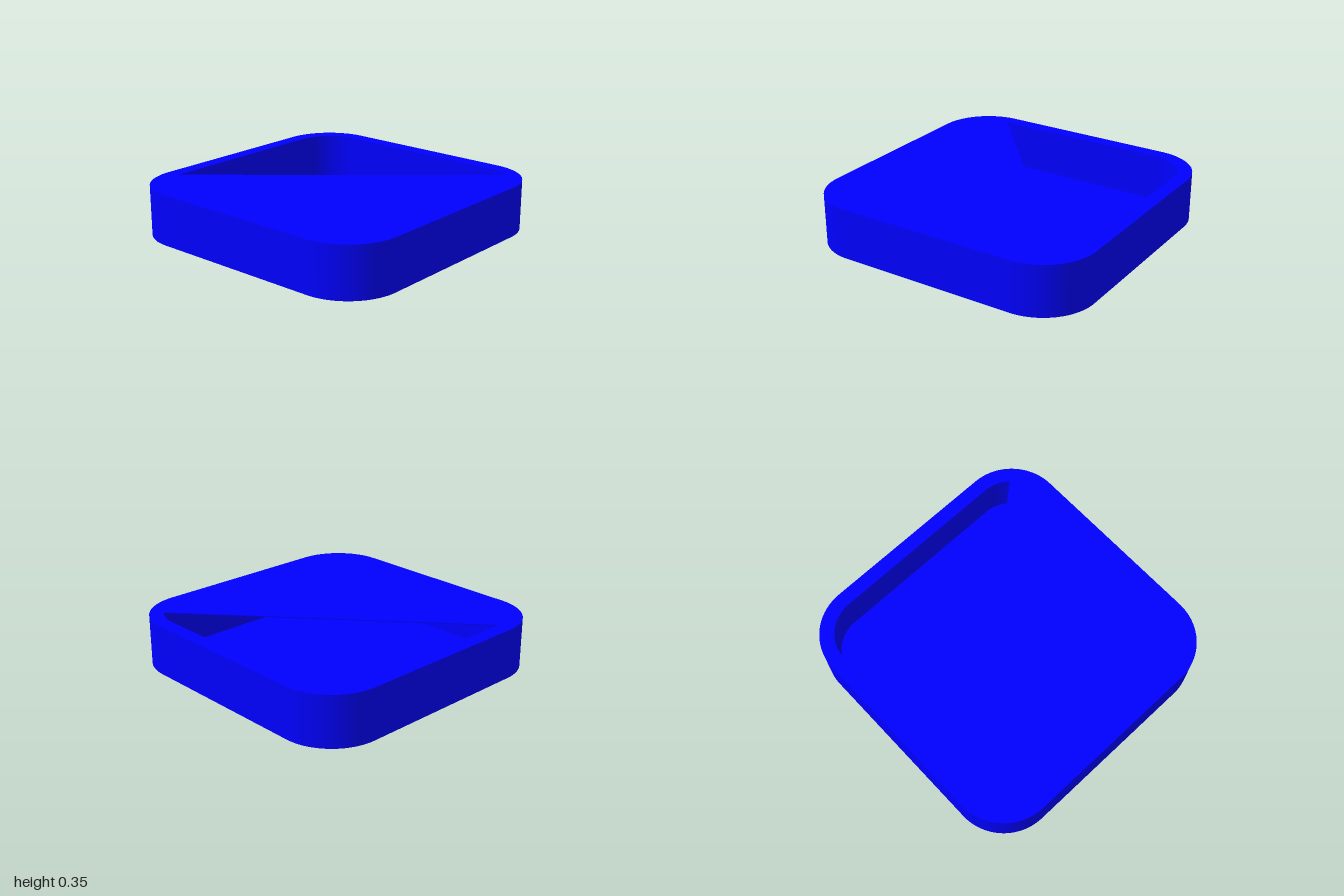
import * as THREE from 'three';
import { toCreasedNormals } from 'three/addons/utils/BufferGeometryUtils.js';

const HEIGHT = 0.35, WALL = 0.1, FLOOR = 0.02, LID = 0.006;
const CENTRE = 0.63;          // corner arc centres, shared by outer and inner outlines
const SLOT_ANGLE = -0.709;    // where the slanted lid edge meets the front corner arc

// Square outline with four rounded corners
function roundedSquare(Type, half) {
  const s = new Type(), r = half - CENTRE, c = CENTRE;
  [[1, 1], [-1, 1], [-1, -1], [1, -1]].forEach(([x, y], i) =>
    s.absarc(x * c, y * c, r, i * Math.PI / 2, (i + 1) * Math.PI / 2, false));
  s.closePath();
  return s;
}

// Inner outline cut by the slanted edge that leaves the pouring slot open
function lidOutline(half) {
  const s = new THREE.Shape(), r = half - CENTRE, c = CENTRE, q = Math.PI / 2;
  s.moveTo(c, half);
  s.absarc(-c, c, r, q, 2 * q, false);
  s.absarc(-c, -c, r, 2 * q, 3 * q, false);
  s.absarc(c, -c, r, -q, SLOT_ANGLE, false);
  s.closePath();
  return s;
}

export function createModel() {
  const group = new THREE.Group();
  group.name = 'slottedBox';
  const material = new THREE.MeshStandardMaterial({ color: 0x0000ff });

  // Upright slab of a plan shape, from height y
  function slab(name, shape, y, depth) {
    let geometry = new THREE.ExtrudeGeometry(shape, { depth, bevelEnabled: false, curveSegments: 24 });
    geometry.rotateX(-Math.PI / 2);
    geometry = toCreasedNormals(geometry, Math.PI / 6);
    const mesh = new THREE.Mesh(geometry, material);
    mesh.name = name;
    mesh.position.y = y;
    group.add(mesh);
  }

  // Hollow side wall
  const wall = roundedSquare(THREE.Shape, 1);
  wall.holes.push(roundedSquare(THREE.Path, 1 - WALL));
  slab('sideWall', wall, 0, HEIGHT);

  // Thin floor and thin lid set flush inside the wall
  slab('floor', roundedSquare(THREE.Shape, 1 - WALL), 0, FLOOR);
  slab('lid', lidOutline(1 - WALL), HEIGHT - LID, LID);

  return group;
}
